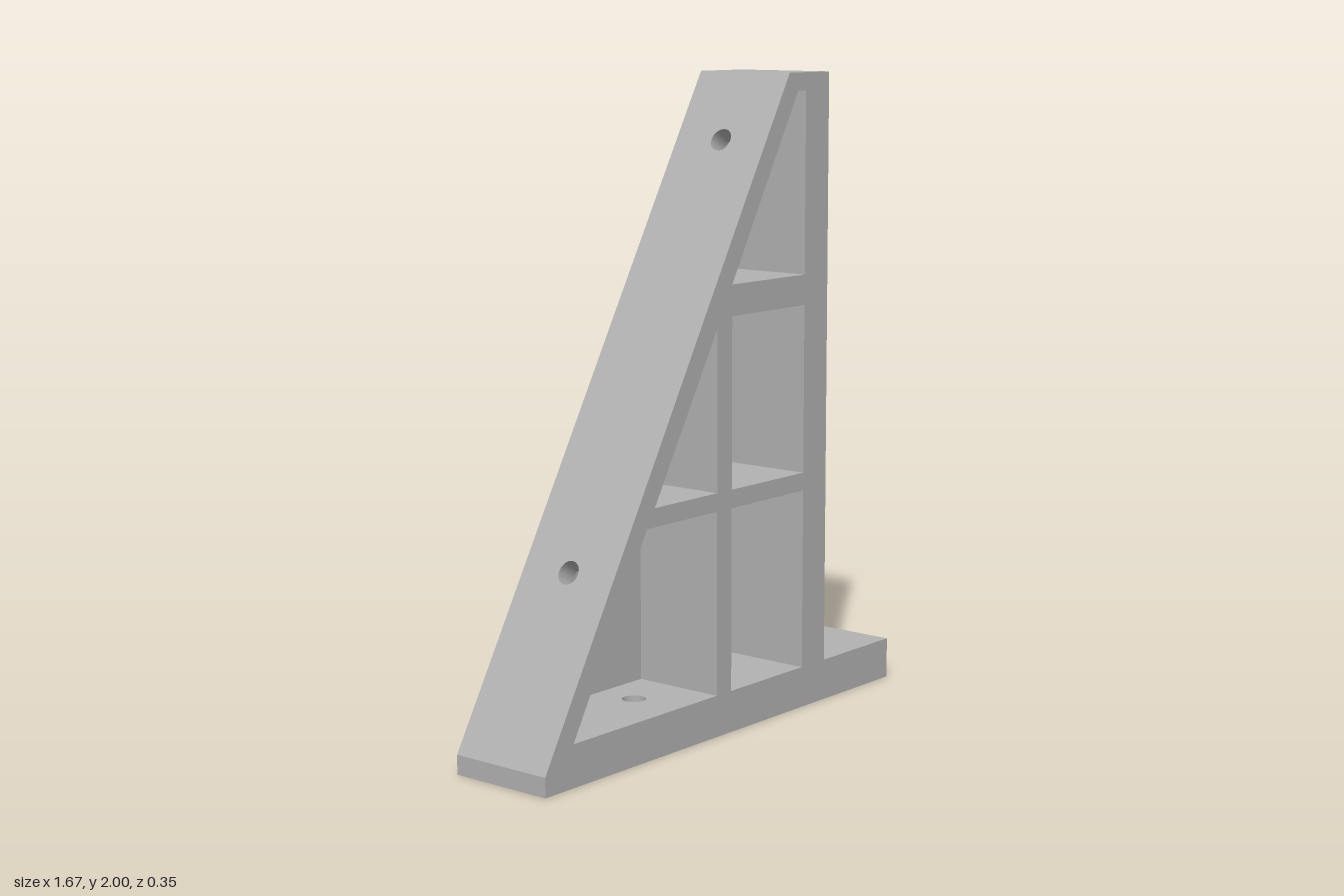
import * as THREE from 'three';
import { mergeGeometries } from 'three/addons/utils/BufferGeometryUtils.js';

const V = (x, y) => new THREE.Vector2(x, y);
const points = (list) => list.map(([x, y]) => V(x, y));

const FRONT = 0.173, BACK = -0.173, FLOOR = -0.13;
const BORE = 0.037;

// Counter-clockwise silhouette: foot, upright and sloping brace
const outline = points([
  [-0.835, 0], [0.835, 0], [0.835, 0.13], [0.483, 0.13],
  [0.483, 2], [0.282, 2], [-0.835, 0.06],
]);

// Clockwise pockets, open to the front; hole = centre of a window in the back web
const pockets = [
  { name: 'lowerOuterPocket', pts: [[-0.715, 0.13], [-0.39, 0.7], [-0.065, 0.7], [-0.065, 0.13]] },
  { name: 'lowerInnerPocket', pts: [[0.005, 0.13], [0.005, 0.7], [0.365, 0.7], [0.365, 0.13]], hole: V(0.185, 0.417) },
  { name: 'middleOuterPocket', pts: [[-0.355, 0.757], [-0.065, 1.255], [-0.065, 0.757]] },
  { name: 'middleInnerPocket', pts: [[0.005, 0.757], [0.005, 1.285], [0.365, 1.285], [0.365, 0.757]], hole: V(0.185, 1.022) },
  { name: 'upperPocket', pts: [[0.005, 1.38], [0.325, 1.945], [0.365, 1.945], [0.365, 1.38]] },
].map((p) => ({ ...p, pts: points(p.pts) }));

// Screw bores: outer end and inner end, all at mid depth
const bores = [
  [V(-0.54, 0.572), V(-0.481, 0.538)],
  [V(0.165, 1.797), V(0.224, 1.763)],
  [V(-0.25, 0), V(-0.25, 0.13)],
];

const circle = (c, r, n) => new THREE.Path(
  Array.from({ length: n }, (_, i) => {
    const a = (i / n) * Math.PI * 2;
    return V(c.x + r * Math.cos(a), c.y + r * Math.sin(a));
  }),
);

// Flat face in the xy plane at depth z
function face(pts, z, holes, facesBack = false) {
  const shape = new THREE.Shape(pts);
  shape.holes.push(...holes);
  const g = new THREE.ShapeGeometry(shape);
  if (facesBack) g.rotateY(Math.PI).scale(1, 1, 1);
  return g.translate(0, 0, z);
}

// Rectangle standing on edge a-b, pierced wherever a bore ends on that edge
function wall(a, b, z0, z1) {
  const dir = b.clone().sub(a), len = dir.length();
  dir.normalize();
  const shape = new THREE.Shape([V(0, z0), V(len, z0), V(len, z1), V(0, z1)]);
  for (const end of bores.flat()) {
    const d = end.clone().sub(a), u = d.dot(dir);
    if (Math.abs(d.cross(dir)) < 0.006 && u > BORE && u < len - BORE) {
      shape.holes.push(circle(V(u, 0), BORE, 16));
    }
  }
  const m = new THREE.Matrix4().makeBasis(
    new THREE.Vector3(dir.x, dir.y, 0),
    new THREE.Vector3(0, 0, 1),
    new THREE.Vector3(dir.y, -dir.x, 0),
  ).setPosition(a.x, a.y, 0);
  return new THREE.ShapeGeometry(shape).applyMatrix4(m);
}

const walls = (pts, z0, z1) => mergeGeometries(
  pts.map((p, i) => wall(p, pts[(i + 1) % pts.length], z0, z1)),
);

// Open tube lining a hole between two points
function lining(p, q, r, n) {
  const axis = q.clone().sub(p);
  const g = new THREE.CylinderGeometry(r, r, axis.length(), n, 1, true);
  const turn = new THREE.Quaternion().setFromUnitVectors(
    new THREE.Vector3(0, 1, 0), axis.clone().normalize());
  return g.applyQuaternion(turn).translate(
    (p.x + q.x) / 2, (p.y + q.y) / 2, (p.z + q.z) / 2);
}

export function createModel() {
  const grey = new THREE.MeshStandardMaterial({ color: 0xb2b2b2, side: THREE.DoubleSide });
  grey.name = 'castGrey';
  const model = new THREE.Group();
  model.name = 'angleBracket';
  const add = (name, geometry) => {
    const mesh = new THREE.Mesh(geometry, grey);
    mesh.name = name;
    model.add(mesh);
  };
  const window = (c) => circle(c, 0.109, 14);

  // Outer shell: rib faces, back web and edge
  add('ribFace', face(outline, FRONT, pockets.map((p) => new THREE.Path(p.pts))));
  const mirrored = (c) => V(-c.x, c.y);
  add('backWeb', face(
    outline.map(mirrored), BACK,
    pockets.filter((p) => p.hole).map((p) => window(mirrored(p.hole))), true));
  add('outerEdge', walls(outline, BACK, FRONT));

  // Pockets with their floors and round windows
  for (const { name, pts, hole } of pockets) {
    add(name + 'Walls', walls(pts, FLOOR, FRONT));
    add(name + 'Floor', face(pts, FLOOR, hole ? [window(hole)] : []));
    if (hole) {
      const g = lining(
        new THREE.Vector3(hole.x, hole.y, BACK),
        new THREE.Vector3(hole.x, hole.y, FLOOR), 0.109, 28);
      add(name + 'WindowRim', g);
    }
  }

  // Screw bores through the brace and the foot
  bores.forEach(([p, q], i) => add('screwBore' + (i + 1), lining(
    new THREE.Vector3(p.x, p.y, 0), new THREE.Vector3(q.x, q.y, 0), BORE, 16)));

  return model;
}
